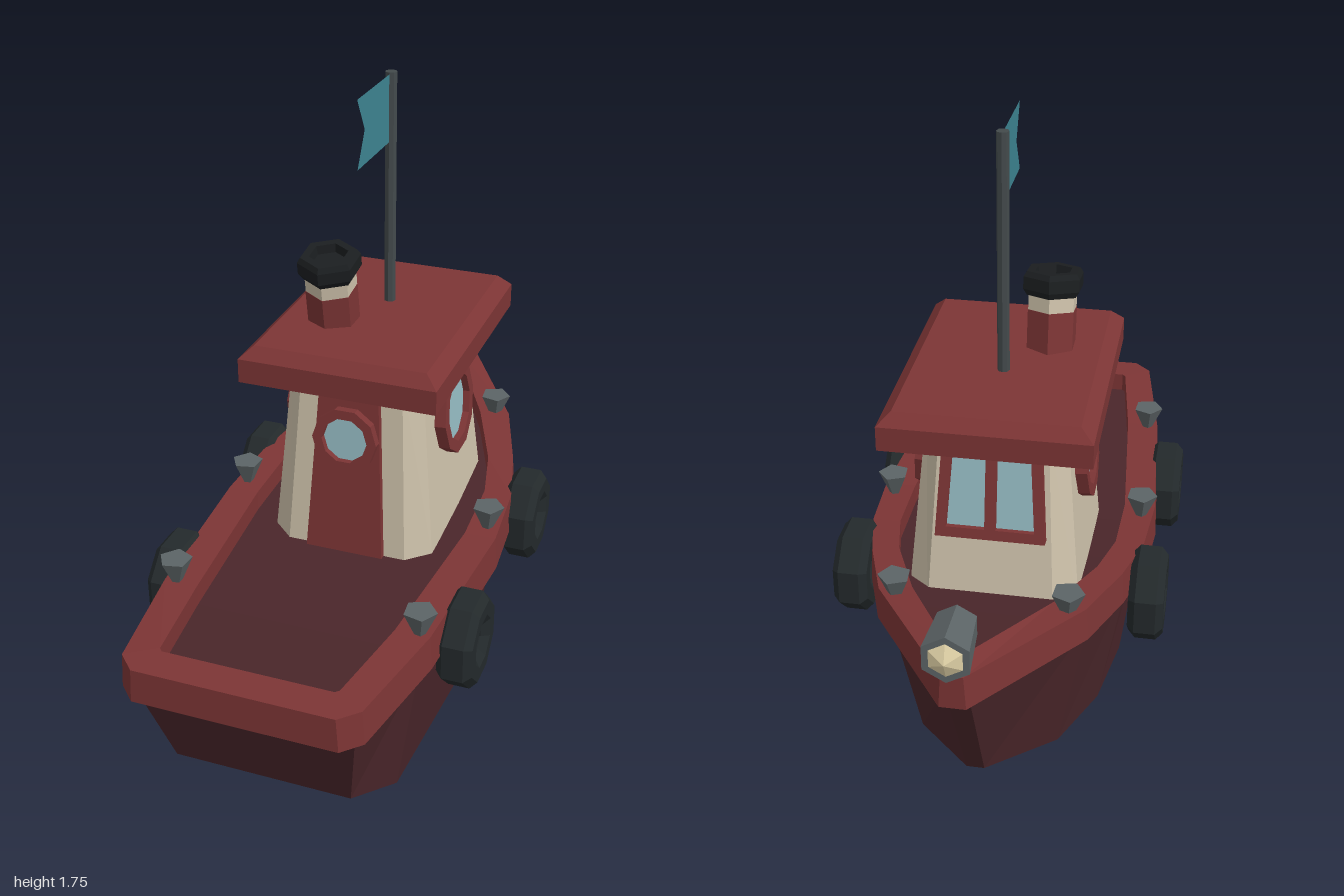
import * as THREE from 'three';

const mat = (color) => new THREE.MeshStandardMaterial({ color, flatShading: true, side: THREE.DoubleSide });
const RED = mat(0x7d3535), HULL = mat(0x4a262a), CREAM = mat(0xcdc1aa), GLASS = mat(0x94bac2);
const RUBBER = mat(0x23292b), METAL = mat(0x5c6466), DARK = mat(0x434a4c), BLACK = mat(0x1b1e20);
const FLAG = mat(0x3d8492), LIGHT = mat(0xe2d3a8);

function mesh(name, geometry, material, parent, x = 0, y = 0, z = 0) {
  const m = new THREE.Mesh(geometry, material);
  m.name = name;
  m.position.set(x, y, z);
  parent.add(m);
  return m;
}

// Skin a list of cross-sections, optionally closing each section and capping both ends
function loft(rows, closed, caps) {
  const pos = [];
  const tri = (...p) => p.forEach((v) => pos.push(...v));
  const n = rows[0].length;
  for (let i = 0; i < rows.length - 1; i++) {
    for (let j = 0; j < (closed ? n : n - 1); j++) {
      const k = (j + 1) % n;
      const a = rows[i][j], b = rows[i + 1][j], c = rows[i + 1][k], d = rows[i][k];
      tri(a, b, c);
      tri(a, c, d);
    }
  }
  if (caps) {
    const first = rows[0], last = rows[rows.length - 1];
    for (let j = 1; j < n - 1; j++) {
      tri(first[0], first[j], first[j + 1]);
      tri(last[0], last[j + 1], last[j]);
    }
  }
  const g = new THREE.BufferGeometry();
  g.setAttribute('position', new THREE.Float32BufferAttribute(pos, 3));
  g.computeVertexNormals();
  return g;
}

// Horizontal rectangle with cut corners
const ring = (y, hw, zb, zf, cx, cz) => [
  [hw, y, zf + cz], [hw, y, zb - cz], [hw - cx, y, zb], [cx - hw, y, zb],
  [-hw, y, zb - cz], [-hw, y, zf + cz], [cx - hw, y, zf], [hw - cx, y, zf],
];

const polygon = (pts) => new THREE.Shape(pts.map(([x, y]) => new THREE.Vector2(x, y)));
const ngon = (r, n) => Array.from({ length: n }, (_, i) => {
  const a = ((i + 0.5) / n) * Math.PI * 2;
  return [r * Math.sin(a), r * Math.cos(a)];
});

function plate(outline, depth, holes = []) {
  const s = polygon(outline);
  s.holes = holes.map(polygon);
  return new THREE.ExtrudeGeometry(s, { depth, bevelEnabled: false });
}

// Group lying on a sloping cabin wall, its local +z pointing out of the wall
function onWall(name, parent, x, y, z, turn, slope) {
  const g = new THREE.Group();
  g.name = name;
  g.position.set(x, y, z);
  g.rotation.set(-slope, turn, 0, 'YXZ');
  parent.add(g);
  return g;
}

function porthole(parent, r, ri, sides, z) {
  mesh('portholeRing', plate(ngon(r, sides), 0.035, [ngon(ri, sides)]), RED, parent, 0, 0, z);
  mesh('portholeGlass', plate(ngon(ri, sides), 0.015), GLASS, parent, 0, 0, z);
}

export function createModel() {
  const boat = new THREE.Group();
  boat.name = 'tugboat';

  // Hull: top z, y, half width, then bottom z, y, half width
  const stations = [
    [0.95, 0.44, 0.305, 0.84, 0.13, 0.25],
    [0.62, 0.42, 0.36, 0.63, 0.02, 0.305],
    [0.08, 0.42, 0.385, 0.05, 0.005, 0.33],
    [-0.2, 0.445, 0.365, -0.2, 0.01, 0.29],
    [-0.46, 0.48, 0.285, -0.42, 0.02, 0.2],
    [-0.87, 0.55, 0.03, -0.64, 0.085, 0.025],
  ];
  mesh('hull', loft(stations.map(([tz, ty, tw, bz, by, bw]) =>
    [[-tw, ty, tz], [-bw, by, bz], [bw, by, bz], [tw, ty, tz]]), false, true), HULL, boat);

  // Gunwale: outer x, z, inner x, z, top y, from stern to bow
  const rail = [
    [0.28, 1.0, 0.235, 0.905, 0.525],
    [0.33, 0.95, 0.245, 0.895, 0.525],
    [0.388, 0.6, 0.285, 0.6, 0.51],
    [0.422, 0.1, 0.325, 0.1, 0.512],
    [0.408, -0.12, 0.32, -0.12, 0.525],
    [0.365, -0.3, 0.285, -0.28, 0.545],
    [0.29, -0.52, 0.195, -0.5, 0.575],
    [0.035, -0.915, 0.01, -0.83, 0.63],
  ];
  const section = (s) => ([ox, oz, ix, iz, y]) => [
    [s * ox, y - 0.1, oz], [s * (ox - 0.006), y, oz], [s * ix, y, iz], [s * ix, y - 0.1, iz]];
  const loop = [...rail.map(section(1)), ...[...rail].reverse().map(section(-1))];
  mesh('gunwale', loft([...loop, loop[0]], true, false), RED, boat);
  mesh('deck', loft(rail.map(([, , x, z, y]) => [[-x, y - 0.06, z], [x, y - 0.06, z]]), false, false), HULL, boat);

  // Cabin and roof
  mesh('cabin', loft([ring(0.44, 0.243, 0.209, -0.404, 0.065, 0.06),
    ring(1.0, 0.193, 0.153, -0.317, 0.045, 0.045)], true, true), CREAM, boat);
  const slab = (y, hw, zb, zf) => [[hw, y, zf], [hw, y, zb], [-hw, y, zb], [-hw, y, zf]];
  mesh('roof', loft([slab(0.98, 0.285, 0.28, -0.47), slab(1.05, 0.285, 0.28, -0.47),
    slab(1.085, 0.248, 0.25, -0.44)], true, true), RED, boat);

  // Door, side portholes and wheelhouse window
  const door = onWall('door', boat, 0, 0.81, 0.172, 0, 0.1);
  mesh('doorPanel', plate([[-0.115, -0.36], [0.115, -0.36], [0.088, 0.13], [-0.088, 0.13]], 0.02), RED, door);
  porthole(door, 0.095, 0.067, 10, 0.012);
  for (const s of [-1, 1]) {
    porthole(onWall('sidePorthole', boat, s * 0.208, 0.81, -0.09, s * Math.PI / 2, 0.089), 0.137, 0.102, 10, 0);
  }
  const front = onWall('frontWindow', boat, 0, 0.81, -0.347, Math.PI, 0.155);
  const pane = (s) => [[s * 0.015, -0.105], [s * 0.122, -0.105], [s * 0.108, 0.105], [s * 0.015, 0.105]];
  mesh('windowFrame', plate([[-0.152, -0.135], [0.152, -0.135], [0.135, 0.135], [-0.135, 0.135]], 0.032,
    [pane(-1), pane(1)]), RED, front);
  for (const s of [-1, 1]) mesh('windowGlass', plate(pane(s), 0.014), GLASS, front);

  // Raked funnel
  const funnel = new THREE.Group();
  funnel.name = 'funnel';
  funnel.position.set(-0.105, 1.06, 0.008);
  funnel.rotation.x = 0.17;
  boat.add(funnel);
  mesh('funnelBase', new THREE.CylinderGeometry(0.074, 0.074, 0.13, 6), RED, funnel, 0, 0.065);
  mesh('funnelBand', new THREE.CylinderGeometry(0.073, 0.073, 0.06, 6), CREAM, funnel, 0, 0.155);
  const capProfile = [[0, 0.172], [0.078, 0.172], [0.09, 0.19], [0.09, 0.225], [0.08, 0.24], [0.055, 0.24], [0.05, 0.215], [0, 0.215]];
  mesh('funnelCap', new THREE.LatheGeometry(capProfile.map(([x, y]) => new THREE.Vector2(x, y)), 6), BLACK, funnel);

  // Mast and swallow-tailed flag
  mesh('mast', new THREE.CylinderGeometry(0.017, 0.017, 0.7, 8), DARK, boat, 0, 1.41, -0.165);
  const flag = mesh('flag', new THREE.ShapeGeometry(
    polygon([[0, 1.565], [0.255, 1.565], [0.2, 1.66], [0.255, 1.755], [0, 1.755]])), FLAG, boat, 0, 0, -0.155);
  flag.rotation.y = -Math.PI / 2;

  // Bow searchlight
  const lamp = new THREE.Group();
  lamp.name = 'searchlight';
  lamp.position.set(0, 0.73, -0.905);
  boat.add(lamp);
  const housing = mesh('lampHousing', new THREE.CylinderGeometry(0.057, 0.068, 0.145, 6), METAL, lamp);
  housing.rotation.x = Math.PI / 2;
  const lens = mesh('lampLens', new THREE.ConeGeometry(0.05, 0.022, 6), LIGHT, lamp, 0, 0, -0.083);
  lens.rotation.x = -Math.PI / 2;
  const post = mesh('lampPost', new THREE.CylinderGeometry(0.02, 0.025, 0.1, 6), METAL, lamp, 0, -0.085, 0.035);
  post.rotation.x = -0.2;

  // Tyre fenders and bollards on both sides
  const tyreProfile = [[0.045, -0.03], [0.075, -0.05], [0.115, -0.05], [0.137, -0.03], [0.137, 0.03],
    [0.115, 0.05], [0.075, 0.05], [0.045, 0.03], [0.045, -0.03]].map(([x, y]) => new THREE.Vector2(x, y));
  const tyre = new THREE.LatheGeometry(tyreProfile, 8, Math.PI / 8);
  const bollard = new THREE.CylinderGeometry(0.047, 0.016, 0.07, 5);
  for (const s of [-1, 1]) {
    for (const [y, z] of [[0.42, -0.207], [0.395, 0.422]]) {
      mesh('tyreFender', tyre, RUBBER, boat, s * 0.427, y, z).rotation.z = Math.PI / 2;
    }
    for (const [x, y, z] of [[0.235, 0.597, -0.53], [0.378, 0.55, 0.05], [0.35, 0.545, 0.59]]) {
      mesh('bollard', bollard, METAL, boat, s * x, y, z).rotation.y = s * 0.4;
    }
  }
  return boat;
}
